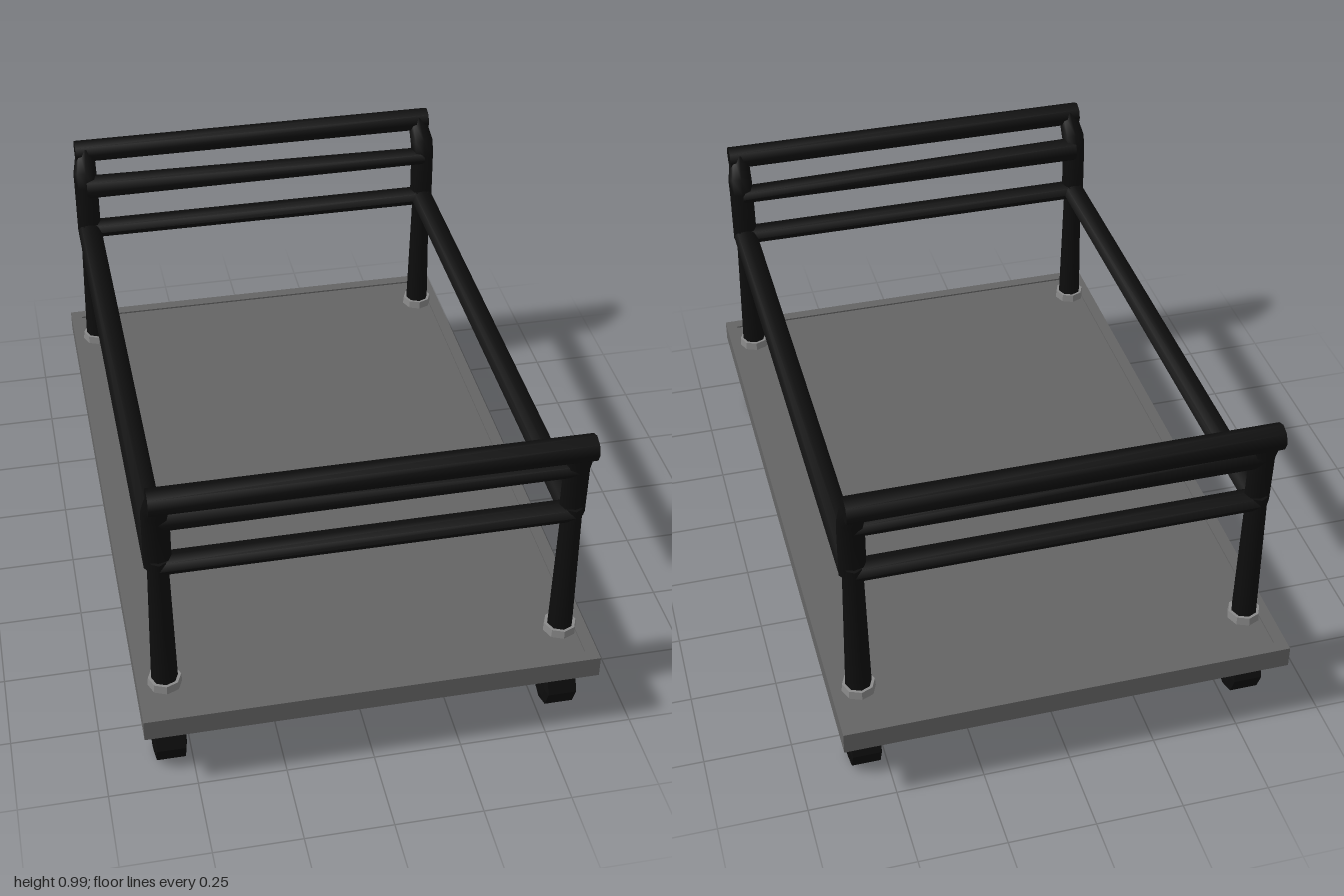
import * as THREE from 'three';
import { toCreasedNormals } from 'three/addons/utils/BufferGeometryUtils.js';

const V = (x, y, z) => new THREE.Vector3(x, y, z);

// Eight-sided tube along a path; each point has radii [along side, across side].
function loft(points, radii, side, sides = 8) {
  const pos = [], idx = [], n = points.length;
  points.forEach((p, i) => {
    const t = points[Math.min(i + 1, n - 1)].clone().sub(points[Math.max(i - 1, 0)]).normalize();
    const b = t.clone().cross(side).normalize();
    const a = b.clone().cross(t);
    for (let j = 0; j < sides; j++) {
      const w = (j / sides) * Math.PI * 2;
      const q = p.clone()
        .addScaledVector(a, Math.cos(w) * radii[i][0])
        .addScaledVector(b, Math.sin(w) * radii[i][1]);
      pos.push(q.x, q.y, q.z);
    }
  });
  for (let i = 0; i < n - 1; i++) {
    for (let j = 0; j < sides; j++) {
      const k = (j + 1) % sides, r = i * sides, s = r + sides;
      idx.push(r + j, r + k, s + j, r + k, s + k, s + j);
    }
  }
  const last = (n - 1) * sides;
  for (let j = 1; j < sides - 1; j++) {
    idx.push(0, j + 1, j, last, last + j, last + j + 1);
  }
  const g = new THREE.BufferGeometry();
  g.setAttribute('position', new THREE.Float32BufferAttribute(pos, 3));
  g.setIndex(idx);
  return toCreasedNormals(g, 1);
}

export function createModel() {
  const model = new THREE.Group();
  model.name = 'platformTrolley';
  const black = new THREE.MeshStandardMaterial({ name: 'black', color: 0x0d0d0d });
  const deckGrey = new THREE.MeshStandardMaterial({ name: 'deckGrey', color: 0x646464 });
  const metal = new THREE.MeshStandardMaterial({ name: 'lightMetal', color: 0x8a8a8a });

  const add = (name, geometry, material, x = 0, y = 0, z = 0, parent = model) => {
    const m = new THREE.Mesh(geometry, material);
    m.name = name;
    m.position.set(x, y, z);
    parent.add(m);
    return m;
  };

  const X = 0.5625, FRONT = 0.858, BACK = -0.836, RAIL_Y = 0.698, R = 0.0375;
  const xAxis = V(1, 0, 0), zAxis = V(0, 0, 1);

  // Deck with a slim raised rim
  add('deck', new THREE.BoxGeometry(1.22, 0.06, 1.94), deckGrey, 0, 0.23, 0);
  const rim = new THREE.Shape([[-0.64, -1], [0.64, -1], [0.64, 1], [-0.64, 1]].map(p => new THREE.Vector2(...p)));
  rim.holes.push(new THREE.Path([[-0.605, -0.965], [-0.605, 0.965], [0.605, 0.965], [0.605, -0.965]]
    .map(p => new THREE.Vector2(...p))));
  const rimGeo = new THREE.ExtrudeGeometry(rim, { depth: 0.065, bevelEnabled: false });
  rimGeo.rotateX(-Math.PI / 2);
  add('deckRim', rimGeo, deckGrey, 0, 0.2, 0);

  // Eight-sided wheel with bevelled edges, axle along x
  const wheelGeo = new THREE.LatheGeometry(
    [[0, -0.046], [0.055, -0.046], [0.081, -0.041], [0.081, 0.041], [0.055, 0.046], [0, 0.046]]
      .map(p => new THREE.Vector2(...p)), 8).rotateZ(Math.PI / 2);
  const flatWheel = toCreasedNormals(wheelGeo, 0.1);
  const collarGeo = toCreasedNormals(new THREE.CylinderGeometry(0.046, 0.048, 0.025, 8), 0.5);

  for (const [end, s, z] of [['front', 1, FRONT], ['back', -1, BACK]]) {
    for (const [hand, m] of [['Left', 1], ['Right', -1]]) {
      const x = m * X;
      // Caster
      const caster = new THREE.Group();
      caster.name = `${end}${hand}Caster`;
      caster.position.set(x, 0, z);
      model.add(caster);
      add('wheel', flatWheel, black, 0, 0.081, 0, caster);
      add('forkTop', new THREE.BoxGeometry(0.104, 0.042, 0.076), metal, 0, 0.181, 0, caster);
      for (const k of [-1, 1]) {
        add('forkCheek', new THREE.BoxGeometry(0.005, 0.045, 0.076), metal, k * 0.0495, 0.1425, 0, caster);
      }

      // Post with its collar
      add(`${end}${hand}Collar`, collarGeo, metal, x, 0.2775, z);
      add(`${end}${hand}Post`, loft(
        [V(x, 0.262, z), V(x, 0.72, z)], [[R, R], [0.028, R]], xAxis), black);

      // Upper post, bending outward to the handle
      add(`${end}${hand}HandleBend`, loft(
        [V(x, 0.69, z), V(x, 0.86, z + s * 0.004), V(x, 0.895, z + s * 0.016), V(x - m * 0.008, 0.955, z + s * 0.058)],
        [[R, 0.024], [R, 0.035], [R, 0.037], [0.03, 0.036]], xAxis), black);
    }

    // Cross bars at each end
    add(`${end}HandleBar`, loft(
      [V(-0.587, 0.956, z + s * 0.059), V(0.587, 0.956, z + s * 0.059)], [[R, 0.036], [R, 0.036]], zAxis), black);
    add(`${end}MiddleBar`, loft(
      [V(-X, 0.855, z), V(X, 0.85, z)], [[R, 0.039], [R, 0.024]], zAxis), black);
    add(`${end}LowerBar`, loft(
      [V(-X, RAIL_Y, z), V(X, RAIL_Y, z)], [[R, 0.027], [R, 0.027]], zAxis), black);
  }

  // Long side rails
  for (const [hand, m] of [['left', 1], ['right', -1]]) {
    add(`${hand}SideRail`, loft(
      [V(m * X, RAIL_Y, BACK), V(m * X, RAIL_Y, FRONT)], [[R, 0.027], [R, 0.027]], xAxis), black);
  }
  return model;
}
